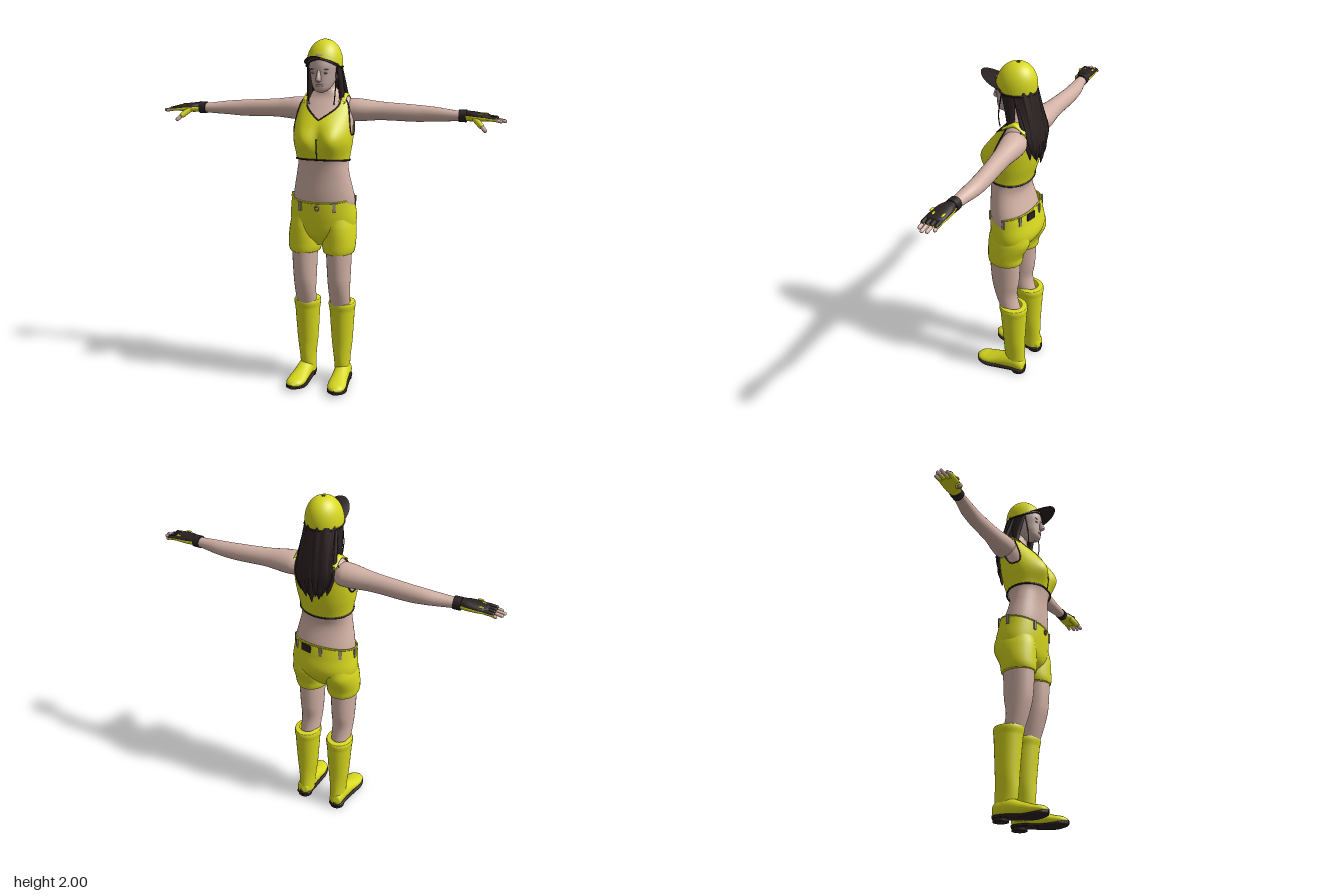
import * as THREE from 'three';

const mat = (name, color) => new THREE.MeshStandardMaterial({ name, color, side: THREE.DoubleSide });
const { sin, cos, PI, sign, abs, pow, max, min, asin, atan2, exp } = Math;
const { lerp, clamp } = THREE.MathUtils;
const gauss = (d, w) => exp(-d * d / (w * w));
const vec = p => new THREE.Vector3(...p);

// Smooth interpolation through rows of [t, ...values]
function sampler(k) {
  const slope = (j, c) => {
    const p = k[max(j - 1, 0)], q = k[min(j + 1, k.length - 1)];
    return (q[c] - p[c]) / (q[0] - p[0]);
  };
  return t => {
    let i = 0;
    while (i < k.length - 2 && t > k[i + 1][0]) i++;
    const a = k[i], b = k[i + 1], h = b[0] - a[0];
    const s = clamp((t - a[0]) / h, 0, 1), s2 = s * s, s3 = s2 * s;
    return a.map((_, c) => (2 * s3 - 3 * s2 + 1) * a[c] + (3 * s2 - 2 * s3) * b[c]
      + h * ((s3 - 2 * s2 + s) * slope(i, c) + (s3 - s2) * slope(i + 1, c)));
  };
}

// Surface of stacked ellipses; sections are [t, radiusU, radiusV, centreV, centreU]
function tubeSurface(sections, e = 2, ripple = 0) {
  const f = sampler(sections), p = c => sign(c) * pow(abs(c), 2 / e);
  return (a, t, off = 0) => {
    const [, ru, rv, cv, cu = 0] = f(t), w = 1 + ripple * (cos(11 * a) + 0.6 * sin(17 * a));
    return [cu + (max(ru, 0.001) * w + off) * p(cos(a)), t, cv + (max(rv, 0.001) * w + off) * p(sin(a))];
  };
}
const shifted = (x, rows) => rows.map(r => [...r, x]);

function grid(fn, nu, nv, closed = true) {
  const pos = [], index = [], w = closed ? nu : nu + 1;
  for (let j = 0; j <= nv; j++) for (let i = 0; i < w; i++) pos.push(...fn(i / nu, j / nv));
  for (let j = 0; j < nv; j++) for (let i = 0; i < nu; i++) {
    const a = j * w + i, b = j * w + (i + 1) % w;
    index.push(a, a + w, b, b, a + w, b + w);
  }
  const g = new THREE.BufferGeometry();
  g.setAttribute('position', new THREE.Float32BufferAttribute(pos, 3));
  g.setIndex(index);
  g.computeVertexNormals();
  return g;
}

const AXES = { y: p => p, x: ([u, t, v]) => [t, v, u], z: ([u, t, v]) => [v, u, t] };
function loft(sections, axis = 'y', { e = 2, ripple = 0, nu = 28 } = {}) {
  const s = tubeSurface(sections, e, ripple), last = sections.length - 1;
  return grid((u, v) => {
    const q = v * last, i = min(Math.floor(q + 1e-6), last - 1);
    return AXES[axis](s(u * 2 * PI, lerp(sections[i][0], sections[i + 1][0], q - i)));
  }, nu, last * 6);
}

// Garment panel on a surface between two edge heights, and a cord along such an edge
const panel = (s, bottom, top, off) => grid((u, v) => {
  const a = u * 2 * PI;
  return s(a, lerp(bottom(a), top(a), v), off);
}, 96, 40);
const cord = (pts, r, closed = false) =>
  new THREE.TubeGeometry(new THREE.CatmullRomCurve3(pts.map(vec), closed), pts.length * 2, r, 6, closed);
const edge = (s, height, off, r) => cord(Array.from({ length: 72 }, (_, i) => {
  const a = i / 72 * 2 * PI;
  return s(a, height(a), off);
}), r, true);

const blob = (x, y, z, rx, ry, rz) => new THREE.SphereGeometry(1, 16, 10).scale(rx, ry, rz).translate(x, y, z);
function limb(from, to, r) {
  const a = vec(from), d = vec(to).sub(a), g = new THREE.CapsuleGeometry(r, d.length(), 5, 12);
  g.applyQuaternion(new THREE.Quaternion().setFromUnitVectors(vec([0, 1, 0]), d.clone().normalize()));
  return g.translate(...a.addScaledVector(d, 0.5).toArray());
}
function mirrored(geo) {
  const g = geo.clone().scale(-1, 1, 1), ix = g.index.array;
  for (let i = 0; i < ix.length; i += 3) [ix[i], ix[i + 1]] = [ix[i + 1], ix[i]];
  return g;
}

export function createModel() {
  const root = new THREE.Group();
  const skin = mat('skin', 0xd2b1a5), faceSkin = mat('face skin', 0xc2aaa2), yellow = mat('yellow cloth', 0xd8d81f);
  const black = mat('dark trim', 0x2a2021), hairMat = mat('hair', 0x2b2020);
  const metal = mat('grey metal', 0x96897f), lipMat = mat('lips', 0xa9857e);
  const add = (name, geo, m, parent = root) => {
    const mesh = new THREE.Mesh(geo, m);
    mesh.name = name;
    parent.add(mesh);
    return mesh;
  };
  const group = name => {
    const g = new THREE.Group();
    g.name = name;
    root.add(g);
    return g;
  };
  const pairOf = (left, right) => (name, geo, m) => {
    add(name, geo, m, left);
    add(name, mirrored(geo), m, right);
  };

  // Torso and neck, with the bust shaped on the front
  const body = tubeSurface([[1.05, 0.17, 0.115, -0.01], [1.13, 0.176, 0.12, -0.005], [1.27, 0.15, 0.1, 0.015],
    [1.34, 0.142, 0.11, 0.012], [1.45, 0.157, 0.136, 0.007], [1.54, 0.16, 0.128, -0.014],
    [1.65, 0.148, 0.088, -0.055], [1.69, 0.12, 0.066, -0.062], [1.73, 0.056, 0.05, -0.052], [1.8, 0.05, 0.05, -0.035]]);
  const torso = (a, y, off = 0) => {
    const [x, , z] = body(a, y, off), k = max(sin(a), 0) * gauss(y - 1.465, 0.075);
    return [x * (1 + 0.08 * k), y, z + k * (0.03 * gauss(abs(x) - 0.085, 0.055) - 0.014 * gauss(x, 0.03))];
  };
  add('torso', grid((u, v) => torso(u * 2 * PI, 1.05 + v * 0.75), 72, 60), skin);

  // Cropped top: the upper edge rises to the straps and dips at neck and armholes
  const rise = sampler([[-90, 1.56], [-48, 1.66], [-35, 1.695], [-15, 1.51], [5, 1.487], [17, 1.51],
    [35, 1.695], [58, 1.635], [90, 1.57]]);
  const topEdge = a => rise(asin(clamp(sin(a), -1, 1)) * 180 / PI)[1], hem = a => 1.347 + 0.012 * sin(a);
  add('croppedTop', panel(torso, hem, topEdge, 0.007), yellow);
  add('topHem', edge(torso, hem, 0.008, 0.005), black);
  add('topBinding', edge(torso, topEdge, 0.007, 0.004), black);
  add('zip', cord([0, 1, 2, 3].map(i => torso(PI / 2, 1.36 + i * 0.037, 0.008)), 0.003), black);

  // Head and face
  const head = group('head');
  add('face', loft([[1.713, 0.004, 0.006, 0.055], [1.726, 0.034, 0.038, 0.047], [1.76, 0.058, 0.072, 0.02],
    [1.81, 0.073, 0.1, -0.005], [1.86, 0.08, 0.11, -0.012], [1.92, 0.074, 0.1, -0.015]]), faceSkin, head);
  add('nose', loft([[1.772, 0.003, 0.004, 0.094], [1.784, 0.014, 0.02, 0.101], [1.84, 0.006, 0.009, 0.09]]), faceSkin, head);
  add('lips', blob(0, 1.756, 0.086, 0.022, 0.008, 0.008), lipMat, head);

  // Domed cap with button, edge trim and arched brim
  const crown = (a, y) => {
    const h = max((y - 1.85) / 0.148, 0), r = pow(max(1 - pow(h, 2.4), 0), 0.5);
    return [0.099 * r * cos(a), y, -0.013 - 0.012 * h + 0.111 * r * sin(a)];
  };
  const capEdge = a => 1.85 + 0.045 * pow(max(sin(a), 0), 2);
  add('capCrown', panel(crown, capEdge, () => 1.998, 0), yellow, head);
  add('capTrim', edge(crown, capEdge, 0, 0.005), black, head);
  add('capButton', blob(0, 1.996, -0.025, 0.011, 0.004, 0.011), black, head);
  add('capBrim', grid((u, v) => {
    const a = (u - 0.5) * 2.7, c = cos(a);
    return [sin(a) * (0.098 - 0.006 * v), 1.862 + 0.04 * c * c + 0.014 * v * c,
      -0.012 + 0.106 * c + 0.092 * v * pow(c, 0.6)];
  }, 32, 8, false), black, head);

  // Long wavy hair: a core, loose locks over it and strands beside the face
  const hair = group('hair');
  add('hairCore', loft([[1.5, 0.055, 0.008, -0.15], [1.6, 0.105, 0.028, -0.143], [1.7, 0.1, 0.042, -0.115],
    [1.87, 0.086, 0.076, -0.045]], 'y', { ripple: 0.035, nu: 88 }), hairMat, hair);
  for (let i = 0; i < 9; i++) {
    const k = i / 4 - 1, tip = 1.455 + 0.045 * abs(k) + 0.025 * (i % 2), z = 0.04 * k * k;
    add('hairLock', loft([[tip, 0.002, 0.002, z * 0.6 - 0.158, 0.075 * k],
      [tip + 0.05, 0.014, 0.011, z * 0.7 - 0.163, 0.088 * k],
      [1.64, 0.018, 0.014, z - 0.155, 0.1 * k + 0.006 * sin(i * 2)],
      [1.87, 0.01, 0.01, z * 1.6 - 0.105, 0.08 * k]], 'y', { nu: 10 }), hairMat, hair);
  }

  // Straps, facial features and side strands, one per side
  for (const s of [-1, 1]) {
    add('bow', blob(s * 0.018, 1.566, 0.083, 0.02, 0.01, 0.008), black);
    add('shoulderStrap', loft([[-0.125, 0.008, 0.02, 0.103 * s, 1.665], [-0.06, 0.012, 0.023, 0.1 * s, 1.698],
      [0.01, 0.008, 0.02, 0.103 * s, 1.66]], 'z'), yellow);
    add('eye', blob(s * 0.032, 1.822, 0.084, 0.013, 0.005, 0.005), metal, head);
    add('eyebrow', blob(s * 0.034, 1.842, 0.086, 0.018, 0.003, 0.004), lipMat, head);
    add('ear', blob(s * 0.077, 1.8, -0.015, 0.01, 0.028, 0.018), faceSkin, head);
    add('sideStrand', loft([[1.64, 0.002, 0.002, 0, s * 0.085], [1.7, 0.014, 0.022, -0.027, s * 0.092],
      [1.87, 0.01, 0.04, -0.005, s * 0.082]], 'y', { nu: 14 }), hairMat, hair);
    add('fineStrand', cord([[s * 0.08, 1.85, 0.03], [s * 0.078, 1.71, 0.05], [s * 0.07, 1.65, 0.045]], 0.003), hairMat, hair);
  }

  // Shorts with waistband, loops, patch and button
  const hips = tubeSurface(shifted(-0.008, [[0.86, 0.1, 0.05, 0], [0.92, 0.165, 0.1, -0.005],
    [1, 0.19, 0.133, -0.022], [1.1, 0.183, 0.13, -0.013], [1.19, 0.172, 0.118, -0.005]]), 2.15);
  const waist = a => 1.138 - 0.025 * sin(a);
  add('shorts', panel(hips, () => 0.86, waist, 0), yellow);
  add('waistband', edge(hips, waist, -0.002, 0.005), yellow);
  const onHips = (name, deg, w, h, m) => {
    const a = deg * PI / 180, mesh = add(name, new THREE.BoxGeometry(w, h, 0.009), m);
    mesh.position.set(...hips(a, waist(a) - 0.025, 0.003));
    mesh.rotation.y = atan2(cos(a) / 0.18, sin(a) / 0.13);
  };
  for (const deg of [60, 120, -5, 185, -45, -135, -98]) onHips('beltLoop', deg, 0.016, 0.055, metal);
  onHips('waistPatch', -72, 0.06, 0.042, black);
  add('waistButton', new THREE.TorusGeometry(0.012, 0.004, 8, 20).translate(-0.005, 1.085, 0.121), metal);

  // Legs and boots
  const leftLeg = group('leftLeg'), rightLeg = group('rightLeg'), addLeg = pairOf(leftLeg, rightLeg);
  leftLeg.position.x = rightLeg.position.x = -0.01;
  addLeg('shortsLeg', loft(shifted(0.1, [[0.812, 0.07, 0.085, 0.006], [0.818, 0.086, 0.098, 0.006],
    [0.87, 0.096, 0.104, 0.003], [0.96, 0.092, 0.122, -0.018], [1.02, 0.08, 0.115, -0.022]])), yellow);
  addLeg('leg', loft(shifted(0.102, [[0.45, 0.055, 0.055, -0.035], [0.57, 0.061, 0.063, 0],
    [0.67, 0.066, 0.082, 0.006], [0.88, 0.075, 0.092, 0.008]])), skin);
  addLeg('bootShaft', loft(shifted(0.106, [[0.04, 0.044, 0.058, -0.068], [0.14, 0.047, 0.065, -0.057],
    [0.25, 0.06, 0.067, -0.054], [0.45, 0.073, 0.08, -0.05], [0.503, 0.076, 0.083, -0.047],
    [0.508, 0.05, 0.055, -0.045]])), yellow);
  const foot = [[-0.13, 0.01, 0.01, 0.112, 0.05], [-0.118, 0.04, 0.036, 0.112, 0.058],
    [-0.05, 0.055, 0.045, 0.112, 0.068], [0.05, 0.041, 0.05, 0.118, 0.05], [0.11, 0.031, 0.055, 0.123, 0.04],
    [0.165, 0.02, 0.04, 0.127, 0.037], [0.19, 0.002, 0.004, 0.129, 0.036]];
  addLeg('bootFoot', loft(foot, 'z'), yellow);
  addLeg('sole', loft(foot.map(([z, , r, x]) =>
    [z, 0.01, r + 0.003, x, min(0.024, 0.012 + pow((z - 0.08) / 0.1, 2) * 0.011)]), 'z', { e: 4 }), black);
  addLeg('heel', new THREE.CylinderGeometry(0.044, 0.042, 0.022, 24).translate(0.112, 0.011, -0.086), black);

  // Arms
  const rightArm = group('rightArm'), addArm = pairOf(group('leftArm'), rightArm);
  rightArm.rotation.y = 0.045;
  addArm('arm', loft([[0.09, 0.05, 0.05, 1.615, -0.075], [0.15, 0.069, 0.064, 1.615, -0.078],
    [0.3, 0.05, 0.051, 1.612, -0.088], [0.5, 0.042, 0.046, 1.604, -0.1], [0.6, 0.04, 0.039, 1.603, -0.1],
    [0.7, 0.032, 0.03, 1.6, -0.09], [0.78, 0.028, 0.023, 1.6, -0.085]], 'x'), skin);

  // Fingerless gloves: yellow palm side, dark back of the hand with yellow patches
  const palm = [[0.765, 0.03, 0.024, 1.6, -0.085], [0.81, 0.045, 0.024, 1.598, -0.078],
    [0.895, 0.046, 0.014, 1.594, -0.072], [0.908, 0.03, 0.004, 1.593, -0.072]];
  addArm('cuff', new THREE.CylinderGeometry(0.034, 0.034, 0.04, 24).rotateZ(PI / 2).translate(0.75, 1.601, -0.087), black);
  addArm('glovePalm', loft(palm, 'x'), yellow);
  addArm('gloveBack', loft(palm.map(([x, w, h, y, z]) => [x, w * 0.97, h, y + 0.006, z]), 'x'), black);
  addArm('gloveThumb', limb([0.815, 1.595, -0.05], [0.855, 1.56, -0.018], 0.016), yellow);
  addArm('thumbTip', limb([0.855, 1.56, -0.018], [0.88, 1.537, -0.002], 0.011), skin);
  [0.952, 0.978, 0.985, 0.965].forEach((end, i) => {
    const z = -0.108 + i * 0.024;
    addArm('gloveFinger', limb([0.885, 1.595, z], [0.928, 1.591, z], 0.011), yellow);
    addArm('gloveFingerBack', limb([0.885, 1.599, z], [0.928, 1.595, z], 0.0105), black);
    addArm('fingertip', limb([0.92, 1.591, z], [end - 0.009, 1.583, z], 0.009), skin);
    addArm('knucklePatch', blob(0.868 - 0.02 * (i % 2), 1.616, z + 0.002, 0.017, 0.004, 0.007), yellow);
  });
  return root;
}
